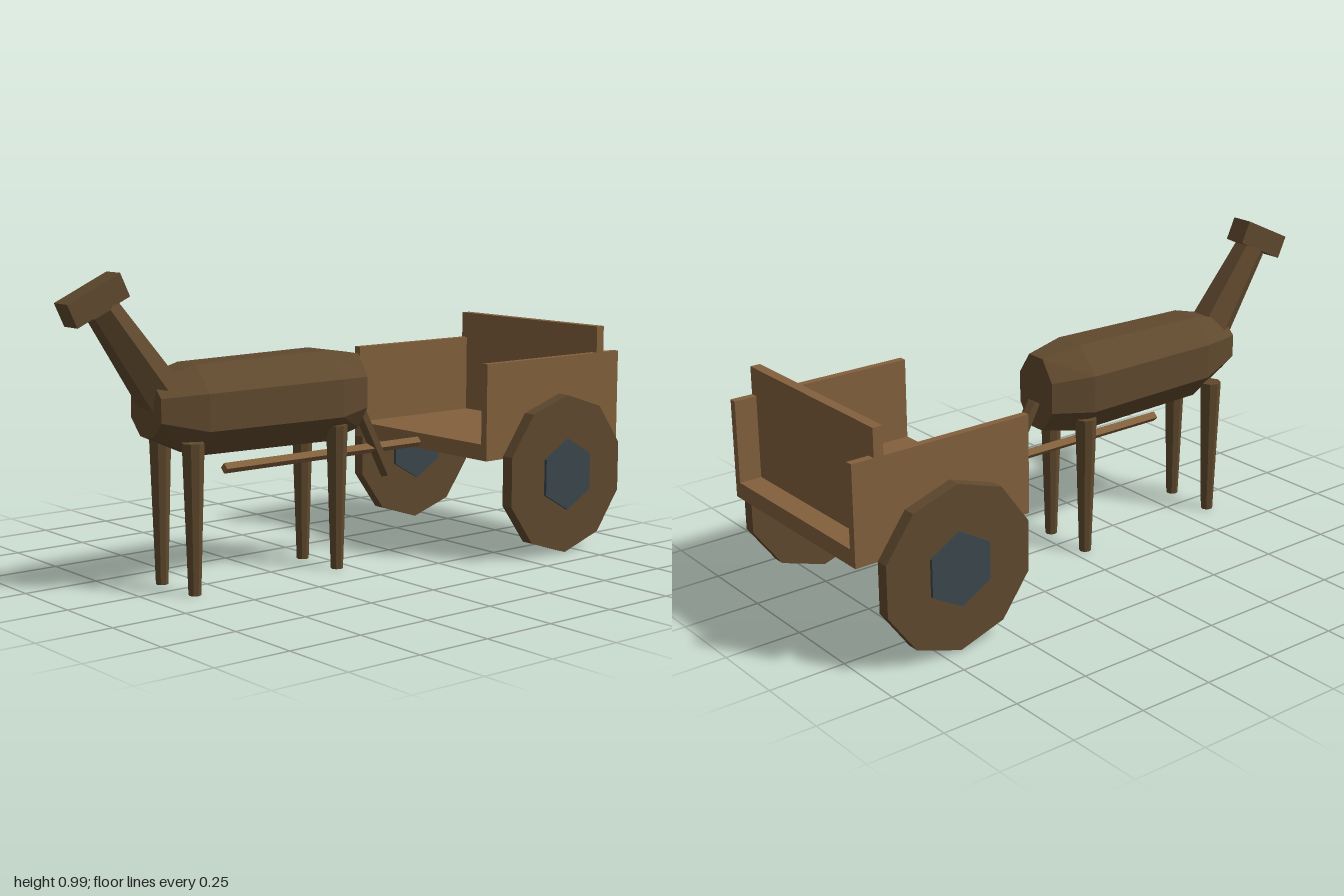
import * as THREE from 'three';

export function createModel() {
  const model = new THREE.Group();
  const material = (name, color) => {
    const m = new THREE.MeshStandardMaterial({ color, flatShading: true });
    m.name = name;
    return m;
  };
  const plank = material('plank wood', 0x83603c);
  const hide = material('brown hide and wheel wood', 0x60492e);
  const iron = material('dark iron', 0x3b474b);

  const add = (name, geometry, mat, x, y, z, parent = model) => {
    const mesh = new THREE.Mesh(geometry, mat);
    mesh.name = name;
    mesh.position.set(x, y, z);
    parent.add(mesh);
    return mesh;
  };
  const box = (w, h, d) => new THREE.BoxGeometry(w, h, d);

  // Tapered prism whose base and tip centres are given as points
  const limb = (name, base, tip, rBase, rTip, sides, mat, turn = 0, parent = model) => {
    const a = new THREE.Vector3(...base), b = new THREE.Vector3(...tip);
    const dir = b.clone().sub(a);
    const geometry = new THREE.CylinderGeometry(rTip, rBase, dir.length(), sides, 1, false, turn);
    const mesh = add(name, geometry, mat, 0, 0, 0, parent);
    mesh.position.copy(a).add(b).multiplyScalar(0.5);
    mesh.quaternion.setFromUnitVectors(new THREE.Vector3(0, 1, 0), dir.normalize());
    return mesh;
  };

  // Cart: floor, two sides and a taller tailboard set in from the back
  const cart = new THREE.Group();
  cart.name = 'cart';
  model.add(cart);
  add('cartFloor', box(0.67, 0.053, 0.622), plank, 0, 0.3625, -0.689, cart);
  for (const s of [-1, 1]) {
    add('cartSide', box(0.025, 0.266, 0.622), plank, s * 0.3225, 0.522, -0.689, cart);
    // Wheel with hub, a point of each at the bottom
    const wheel = new THREE.CylinderGeometry(0.267, 0.267, 0.042, 10, 1, false, Math.PI / 2);
    const hub = new THREE.CylinderGeometry(0.12, 0.12, 0.062, 6, 1, false, Math.PI / 2);
    add('wheel', wheel.rotateZ(Math.PI / 2), hide, s * 0.379, 0.268, -0.686, cart);
    add('wheelHub', hub.rotateZ(Math.PI / 2), iron, s * 0.379, 0.268, -0.686, cart);
  }
  add('tailboard', box(0.67, 0.356, 0.033), plank, 0, 0.567, -0.909, cart);
  limb('drawShaft', [0, 0.359, -0.4], [0, 0.359, 0.43], 0.017, 0.017, 4, plank, 0, cart);

  // Animal body: octagonal sections [z, centre y, half width, half height], back to front
  const animal = new THREE.Group();
  animal.name = 'animal';
  model.add(animal);
  const sections = [
    [-0.085, 0.563, 0.082, 0.122],
    [0.055, 0.56, 0.13, 0.147],
    [0.565, 0.56, 0.12, 0.14],
    [0.715, 0.575, 0.083, 0.089],
  ];
  const n = 8;
  const positions = [];
  const index = [];
  for (const [z, y, w, h] of sections) {
    for (let i = 0; i < n; i++) {
      const a = ((i + 0.5) / n) * Math.PI * 2;
      const k = Math.cos(Math.PI / n);
      positions.push((Math.cos(a) / k) * w, y + (Math.sin(a) / k) * h, z);
    }
  }
  for (let r = 0; r < sections.length - 1; r++) {
    for (let i = 0; i < n; i++) {
      const a = r * n + i, b = r * n + ((i + 1) % n);
      index.push(a, b, b + n, a, b + n, a + n);
    }
  }
  const last = (sections.length - 1) * n;
  for (let i = 1; i < n - 1; i++) {
    index.push(0, i + 1, i, last, last + i, last + i + 1);
  }
  const body = new THREE.BufferGeometry();
  body.setAttribute('position', new THREE.Float32BufferAttribute(positions, 3));
  body.setIndex(index);
  body.computeVertexNormals();
  add('body', body, hide, 0, 0, 0, animal);

  // Legs
  for (const s of [-1, 1]) {
    for (const [name, z] of [['frontLeg', 0.607], ['backLeg', 0.05]]) {
      limb(name, [s * 0.09, 0, z], [s * 0.09, 0.47, z], 0.02, 0.035, 8, hide, 0, animal);
    }
  }

  // Neck, head and tail
  limb('neck', [0, 0.61, 0.665], [0, 0.883, 0.865], 0.075, 0.053, 6, hide, Math.PI / 6, animal);
  const head = add('head', box(0.075, 0.078, 0.198), hide, 0, 0.911, 0.894, animal);
  head.rotation.x = 0.436;
  limb('tail', [0, 0.267, -0.237], [0, 0.535, -0.095], 0.023, 0.023, 6, hide, 0, animal);

  return model;
}
